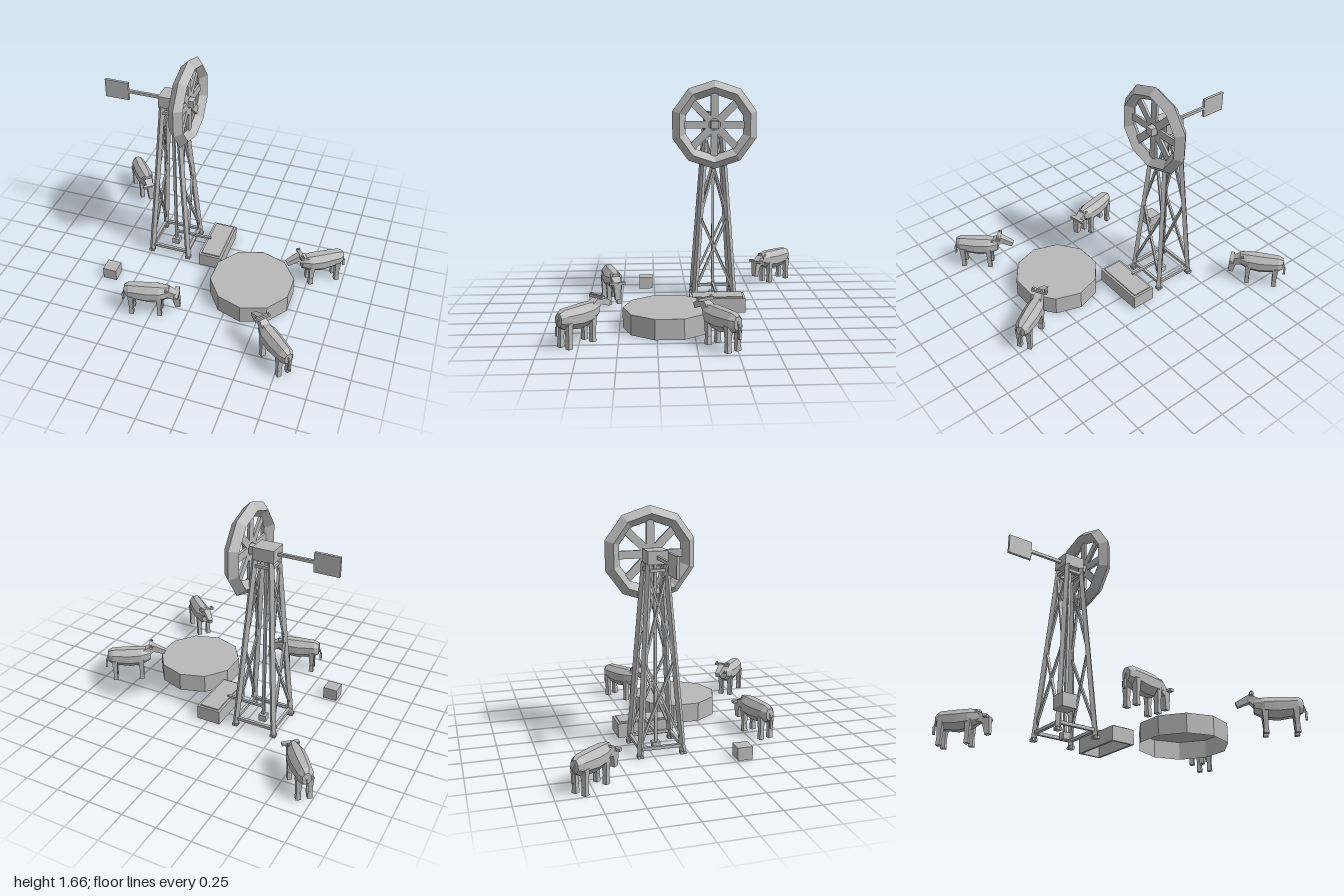
import * as THREE from 'three';

const grey = new THREE.MeshStandardMaterial({ color: 0xb8b8b8, flatShading: true, side: THREE.DoubleSide });
grey.name = 'plain grey';

function add(parent, name, geometry, x = 0, y = 0, z = 0) {
  const m = new THREE.Mesh(geometry, grey);
  m.name = name;
  m.position.set(x, y, z);
  parent.add(m);
  return m;
}
const box = (parent, name, w, h, d, x, y, z) => add(parent, name, new THREE.BoxGeometry(w, h, d), x, y, z);

// Square bar running between two points
function bar(parent, name, a, b, w, h = w) {
  const p = new THREE.Vector3(...a), q = new THREE.Vector3(...b);
  const m = new THREE.Mesh(new THREE.BoxGeometry(w, h, p.distanceTo(q)), grey);
  m.name = name;
  m.position.copy(p).lerp(q, 0.5);
  m.lookAt(q);
  parent.add(m);
  return m;
}

// Loft of octagonal sections [x, bottom, top, halfWidth] along x
function loft(sections) {
  const pos = [], idx = [], n = 8;
  for (const [x, lo, hi, hw] of sections) {
    const c = (lo + hi) / 2, hh = (hi - lo) / 2;
    for (let i = 0; i < n; i++) {
      const a = (i + 0.5) * Math.PI * 2 / n, k = 1 / Math.cos(Math.PI / n);
      pos.push(x, c + Math.sin(a) * hh * k, Math.cos(a) * hw * k);
    }
  }
  for (let s = 0; s < sections.length - 1; s++) {
    for (let i = 0; i < n; i++) {
      const a = s * n + i, b = s * n + (i + 1) % n;
      idx.push(a, b, a + n, b, b + n, a + n);
    }
  }
  const last = (sections.length - 1) * n;
  for (let i = 1; i < n - 1; i++) idx.push(0, i + 1, i, last, last + i, last + i + 1);
  // Winding above faces inward for this axis order, so flip it
  for (let i = 0; i < idx.length; i += 3) [idx[i + 1], idx[i + 2]] = [idx[i + 2], idx[i + 1]];
  for (let i = (sections.length - 1) * n * 6; i < idx.length; i += 3) [idx[i + 1], idx[i + 2]] = [idx[i + 2], idx[i + 1]];
  const g = new THREE.BufferGeometry();
  g.setAttribute('position', new THREE.Float32BufferAttribute(pos, 3));
  g.setIndex(idx);
  const flat = g.toNonIndexed();
  flat.computeVertexNormals();
  return flat;
}

// Square tapered post standing from y0 to y1
function post(parent, name, r1, r0, y0, y1, x, z) {
  const g = new THREE.CylinderGeometry(r1 * Math.SQRT2, r0 * Math.SQRT2, y1 - y0, 4);
  g.rotateY(Math.PI / 4);
  return add(parent, name, g, x, (y0 + y1) / 2, z);
}

// Tapered block from a to b, thick end first
function taper(parent, name, a, b, r0, r1) {
  const p = new THREE.Vector3(...a), q = new THREE.Vector3(...b);
  const g = new THREE.CylinderGeometry(r1 * Math.SQRT2, r0 * Math.SQRT2, p.distanceTo(q), 4);
  g.rotateY(Math.PI / 4);
  const m = add(parent, name, g);
  m.position.copy(p).lerp(q, 0.5);
  m.quaternion.setFromUnitVectors(new THREE.Vector3(0, 1, 0), q.sub(p).normalize());
}

function makeCow(x, z, dx, dz, grazing) {
  const cow = new THREE.Group();
  cow.name = 'cow';
  add(cow, 'body', loft([
    [-0.165, 0.15, 0.235, 0.03], [-0.13, 0.125, 0.252, 0.052], [0, 0.105, 0.254, 0.062],
    [0.09, 0.115, 0.254, 0.06], [0.16, 0.15, 0.245, 0.034],
  ]));
  for (const s of [-1, 1]) {
    for (const lx of [-0.115, 0.09]) {
      post(cow, 'leg', 0.021, 0.014, 0.05, 0.17, lx, s * 0.038);
      post(cow, 'hoof', 0.015, 0.017, 0, 0.055, lx, s * 0.038);
    }
  }
  // Tail with tuft
  bar(cow, 'tail', [-0.155, 0.235, 0], [-0.18, 0.15, 0], 0.009);
  bar(cow, 'tailTuft', [-0.18, 0.155, 0], [-0.181, 0.095, 0], 0.015);
  // Neck, head, ears and horns in the lowered or raised pose
  if (grazing) {
    taper(cow, 'neck', [0.12, 0.205, 0], [0.215, 0.165, 0], 0.038, 0.024);
    taper(cow, 'head', [0.205, 0.185, 0], [0.222, 0.065, 0], 0.029, 0.018);
    box(cow, 'ears', 0.03, 0.018, 0.12, 0.215, 0.187, 0);
  } else {
    taper(cow, 'neck', [0.11, 0.2, 0], [0.185, 0.255, 0], 0.036, 0.024);
    taper(cow, 'head', [0.16, 0.263, 0], [0.275, 0.21, 0], 0.027, 0.018);
    box(cow, 'ears', 0.028, 0.018, 0.12, 0.172, 0.275, 0);
    for (const s of [-1, 1]) box(cow, 'horn', 0.012, 0.02, 0.012, 0.172, 0.285, s * 0.045);
  }
  cow.position.set(x, 0, z);
  cow.rotation.y = Math.atan2(-dz, dx);
  return cow;
}

function makeWindmill() {
  const mill = new THREE.Group();
  mill.name = 'windmill';
  const half = y => 0.15 - 0.092 * y / 1.3;
  const at = (sx, sz, y) => [sx * half(y), y, sz * half(y)];
  // Tower legs, feet and rails
  for (const sx of [-1, 1]) {
    for (const sz of [-1, 1]) {
      bar(mill, 'towerLeg', at(sx, sz, 0.005), at(sx, sz, 1.3), 0.032);
      box(mill, 'foot', 0.04, 0.02, 0.04, sx * 0.15, 0.01, sz * 0.15);
    }
    for (const y of [0.06, 1.255]) {
      bar(mill, 'rail', at(sx, -1, y), at(sx, 1, y), 0.022);
      bar(mill, 'rail', at(-1, sx, y), at(1, sx, y), 0.022);
    }
    // Crossed braces on the two side faces
    for (const s of [-1, 1]) {
      bar(mill, 'brace', at(sx, -s, 0.1), at(sx, s, 0.65), 0.017);
      bar(mill, 'brace', at(sx, -s, 0.65), at(sx, s, 1.24), 0.017);
    }
  }
  // Pump
  box(mill, 'pumpRod', 0.02, 1.3, 0.02, 0, 0.65, 0);
  box(mill, 'pumpBase', 0.055, 0.05, 0.055, 0, 0.025, 0);
  box(mill, 'outletPipe', 0.29, 0.018, 0.018, 0.145, 0.115, 0);
  // Gearbox and tail vane
  box(mill, 'gearbox', 0.155, 0.09, 0.14, -0.005, 1.34, 0);
  box(mill, 'tailBoom', 0.27, 0.022, 0.02, -0.215, 1.34, 0);
  box(mill, 'tailVane', 0.18, 0.14, 0.02, -0.425, 1.34, 0);
  // Wheel
  const wheel = new THREE.Group();
  wheel.name = 'wheel';
  const rim = new THREE.TorusGeometry(0.275, 0.052, 4, 10);
  rim.rotateZ(Math.PI / 2);
  rim.rotateY(Math.PI / 2);
  add(wheel, 'rim', rim);
  box(wheel, 'axle', 0.11, 0.056, 0.056, -0.01, 0, 0);
  for (let i = 0; i < 8; i++) {
    const spoke = new THREE.BoxGeometry(0.018, 0.2, 0.055);
    spoke.translate(0, 0.142, 0);
    add(wheel, 'spoke', spoke).rotation.x = i * Math.PI / 4;
  }
  wheel.position.set(0.122, 1.338, 0);
  mill.add(wheel);
  mill.position.set(-0.35, 0, -0.195);
  return mill;
}

export function createModel() {
  const model = new THREE.Group();
  model.name = 'windmillPasture';
  model.add(makeWindmill());

  // Ten-sided water tank, open underneath
  const tank = new THREE.Group();
  tank.name = 'waterTank';
  add(tank, 'tankWall', new THREE.CylinderGeometry(0.312, 0.312, 0.138, 10, 1, true), 0, 0.069, 0);
  add(tank, 'waterSurface', new THREE.CylinderGeometry(0.31, 0.31, 0.012, 10), 0, 0.133, 0);
  tank.position.set(0.383, 0, 0.167);
  model.add(tank);

  // Trough walls around a slightly raised water slab
  const trough = new THREE.Group();
  trough.name = 'trough';
  for (const s of [-1, 1]) {
    box(trough, 'longWall', 0.017, 0.105, 0.4, s * 0.0815, 0.0525, 0);
    box(trough, 'endWall', 0.146, 0.105, 0.017, 0, 0.0525, s * 0.1915);
  }
  box(trough, 'troughWater', 0.146, 0.02, 0.366, 0, 0.104, 0);
  trough.position.set(-0.005, 0, -0.2);
  model.add(trough);

  box(model, 'saltBlock', 0.105, 0.09, 0.105, -0.683, 0.045, 0.318);

  model.add(
    makeCow(-0.868, -0.747, 0.64, 0.77, true),
    makeCow(-0.285, 0.578, 0.32, -0.075, true),
    makeCow(0.83, -0.155, -0.845, 0.535, false),
    makeCow(0.715, 0.755, -0.74, -0.67, false),
  );
  return model;
}
